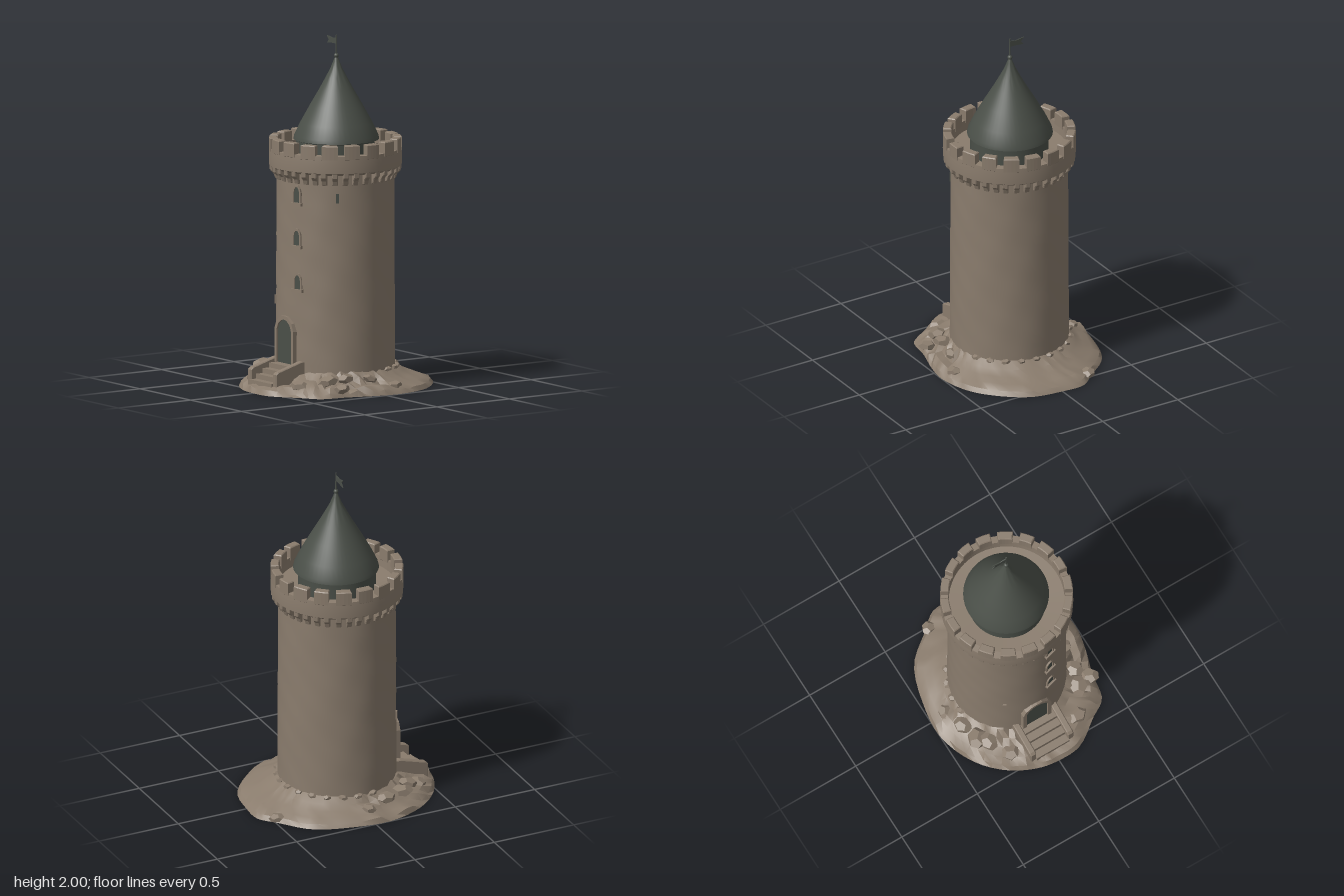
import * as THREE from 'three';
import { toCreasedNormals } from 'three/addons/utils/BufferGeometryUtils.js';

const stone = new THREE.MeshStandardMaterial({ name: 'weathered stone', color: 0x8a7c6d });
const slate = new THREE.MeshStandardMaterial({ name: 'dark slate', color: 0x4a4f48, side: THREE.DoubleSide });
const TAU = Math.PI * 2;
const V2 = (p) => p.map(([x, y]) => new THREE.Vector2(x, y));

// Seeded random for hand-hewn irregularity
let seed = 7;
const rnd = (a = -1, b = 1) => {
  seed = (seed * 16807) % 2147483647;
  return a + (b - a) * (seed / 2147483647);
};

function add(parent, name, geo, mat, x = 0, y = 0, z = 0) {
  const m = new THREE.Mesh(geo, mat);
  m.name = name;
  m.position.set(x, y, z);
  parent.add(m);
  return m;
}

const lathe = (points, n = 64) => toCreasedNormals(new THREE.LatheGeometry(V2(points), n), 0.6);

// Extrudes an outline in XY, centred on its depth
function slab(points, depth, bevel = 0) {
  const g = new THREE.ExtrudeGeometry(new THREE.Shape(V2(points)), {
    depth, bevelEnabled: bevel > 0, bevelSize: bevel, bevelThickness: bevel, bevelOffset: -bevel, bevelSegments: 1,
  });
  return g.translate(0, 0, -depth / 2);
}

// Pointed-arch outline, base at y = 0
function arch(w, h, spring) {
  return [[-w, 0], [w, 0], [w, spring], [w * 0.8, spring + (h - spring) * 0.55], [w * 0.35, h * 0.985], [0, h],
    [-w * 0.35, h * 0.985], [-w * 0.8, spring + (h - spring) * 0.55], [-w, spring]];
}

// Arched surround with an open middle
function archFrame(w, h, spring, t, depth) {
  const s = new THREE.Shape(V2(arch(w + t, h + t, spring)));
  s.holes.push(new THREE.Path(V2(arch(w, h, spring)).reverse()));
  return new THREE.ExtrudeGeometry(s, { depth, bevelEnabled: false });
}

// Rocky mound: rings between the wall and an irregular outline, closed below
function moundGeometry() {
  const outline = [[0.5, -0.07], [0.47, -0.23], [0.4, -0.36], [0.2, -0.53], [0, -0.57], [-0.14, -0.57], [-0.24, -0.49],
    [-0.4, -0.35], [-0.48, -0.12], [-0.5, 0.1], [-0.42, 0.32], [-0.28, 0.47], [-0.12, 0.55], [0, 0.57], [0.14, 0.56],
    [0.3, 0.45], [0.4, 0.38], [0.43, 0.23], [0.48, 0.06]];
  const curve = new THREE.CatmullRomCurve3(outline.map(([x, z]) => new THREE.Vector3(x, 0, z)), true);
  const n = 72, rows = [[0, 0.13], [0.12, 0.115], [0.3, 0.085], [0.5, 0.062], [0.72, 0.045], [0.92, 0.024], [1, 0]];
  const edge = curve.getPoints(n).slice(0, n), pos = [], idx = [];
  rows.forEach(([t, y], r) => edge.forEach((p) => {
    const len = Math.hypot(p.x, p.z), front = p.z > -0.05 ? 1 : 0.35;
    const wob = r > 0 && r < 6 ? rnd() * front : 0;
    const k = (0.315 + (len - 0.315) * (t + wob * 0.035)) / len;
    pos.push(p.x * k, Math.max(0, y + (r < 6 ? wob * 0.014 : 0)), p.z * k);
  }));
  for (let r = 0; r < rows.length - 1; r++) for (let i = 0; i < n; i++) {
    const a = r * n + i, b = r * n + ((i + 1) % n);
    idx.push(a, a + n, b + n, a, b + n, b);
  }
  const last = (rows.length - 1) * n, c = pos.length / 3;
  pos.push(0, 0, 0);
  for (let i = 0; i < n; i++) idx.push(c, last + ((i + 1) % n), last + i);
  const g = new THREE.BufferGeometry();
  g.setAttribute('position', new THREE.Float32BufferAttribute(pos, 3));
  g.setIndex(idx);
  return toCreasedNormals(g, 0.55);
}

// Window standing proud of the wall at a given x
function addWindow(parent, x, y, h) {
  const g = new THREE.Group();
  g.name = 'slitWindow';
  const a = Math.asin(x / 0.333);
  g.position.set(0.333 * Math.sin(a), y, 0.333 * Math.cos(a));
  g.rotation.y = a;
  add(g, 'windowOpening', slab(arch(0.02, h, h * 0.65), 0.006), slate, 0, 0, 0.002);
  add(g, 'windowSurround', archFrame(0.02, h, h * 0.65, 0.011, 0.022), stone, 0, 0, -0.012);
  add(g, 'windowSill', new THREE.BoxGeometry(0.075, 0.018, 0.035), stone, 0, -0.008, 0);
  parent.add(g);
}

export function createModel() {
  const model = new THREE.Group();
  model.name = 'stoneTower';

  add(model, 'rockyMound', moundGeometry(), stone);

  // Loose rocks around the foot, larger at the front corners
  const rocks = [[-0.34, 0.24, 0.06, 0.09], [-0.37, 0.13, 0.05, 0.085], [-0.3, 0.3, 0.05, 0.11], [0.34, 0.17, 0.05, 0.09],
    [0.31, 0.27, 0.055, 0.08], [0.4, 0.24, 0.05, 0.045], [0.37, 0.02, 0.04, 0.08], [-0.22, 0.4, 0.05, 0.05],
    [0.22, 0.4, 0.055, 0.05], [-0.41, 0, 0.04, 0.06], [0.43, -0.1, 0.045, 0.04], [-0.22, -0.49, 0.04, 0.025]];
  for (let i = 0; i < 12; i++) {
    const a = Math.PI * (0.5 + (i + 0.5) / 12);
    rocks.push([0.34 * Math.sin(a + 0.3), 0.34 * Math.cos(a + 0.3), 0.025, 0.115]);
  }
  rocks.forEach(([x, z, r, y]) => {
    const m = add(model, 'rock', toCreasedNormals(new THREE.DodecahedronGeometry(r), 0.3), stone, x, y, z);
    m.scale.set(1.15, 0.6, 1);
    m.rotation.set(rnd() * 0.2, rnd() * 3, rnd() * 0.2);
  });

  // Main shaft with slightly uneven masonry
  const rows = [];
  for (let i = 0; i <= 24; i++) rows.push([0.337 - 0.004 * (i / 24), 0.05 + 1.23 * (i / 24)]);
  const shaft = new THREE.LatheGeometry(V2(rows), 72);
  const p = shaft.attributes.position;
  for (let i = 0; i < p.count; i++) {
    const a = Math.atan2(p.getX(i), p.getZ(i)), y = p.getY(i);
    const k = 1 + 0.004 * Math.sin(a * 7 + y * 9) * Math.sin(y * 21 + Math.cos(a * 3));
    p.setX(i, p.getX(i) * k);
    p.setZ(i, p.getZ(i) * k);
  }
  add(model, 'towerShaft', toCreasedNormals(shaft, 0.6), stone);

  // Parapet ring, wall walk and merlons
  add(model, 'parapet', lathe([[0.325, 1.25], [0.36, 1.25], [0.375, 1.262], [0.377, 1.31], [0.373, 1.36],
    [0.332, 1.362], [0.328, 1.3], [0.2, 1.295]], 72), stone);
  const merlons = 18;
  for (let i = 0; i < merlons; i++) {
    const a = ((i + 0.5) / merlons) * TAU, half = 0.115 + rnd() * 0.008, pts = [];
    for (let j = 0; j <= 4; j++) pts.push([0.376, -half + (half * j) / 2]);
    for (let j = 4; j >= 0; j--) pts.push([0.328, -half + (half * j) / 2]);
    const g = slab(pts.map(([r, t]) => [r * Math.sin(t), r * Math.cos(t)]).reverse(), 0.075, 0.005);
    const m = add(model, 'merlon', g.rotateX(Math.PI / 2), stone, 0, 1.38 + rnd() * 0.003, 0);
    m.rotation.y = a;
  }

  // Corbels under the parapet
  const corbel = slab([[0.32, 1.185], [0.343, 1.19], [0.352, 1.215], [0.372, 1.235], [0.374, 1.27], [0.32, 1.27]], 0.024, 0.004);
  corbel.rotateY(-Math.PI / 2);
  for (let i = 0; i < 36; i++) add(model, 'corbel', corbel, stone).rotation.y = ((i + 0.5 + rnd() * 0.08) / 36) * TAU;

  // Turret drum, flared conical roof, finial and pennant
  add(model, 'turretDrum', lathe([[0.222, 1.28], [0.222, 1.42]], 48), slate);
  add(model, 'coneRoof', lathe([[0, 1.4], [0.22, 1.4], [0.243, 1.408], [0.238, 1.43], [0.205, 1.5], [0.15, 1.6], [0.095, 1.695],
    [0.06, 1.76], [0.034, 1.81], [0.018, 1.85], [0.008, 1.875], [0, 1.88]], 48), slate, 0, 0, -0.006);
  add(model, 'finialBall', new THREE.SphereGeometry(0.014, 16, 10), slate, 0, 1.882, -0.006);
  add(model, 'flagPole', new THREE.CylinderGeometry(0.004, 0.005, 0.14, 8), slate, 0, 1.93, -0.006);
  add(model, 'pennant', slab([[0, 1.95], [0, 1.985], [-0.04, 1.98], [-0.092, 1.988], [-0.072, 1.966], [-0.09, 1.944], [-0.04, 1.95]], 0.005),
    slate, 0, 0, -0.006);

  // Doorway
  add(model, 'door', slab(arch(0.07, 0.25, 0.19), 0.008), slate, -0.01, 0.15, 0.336);
  add(model, 'doorSurround', archFrame(0.07, 0.25, 0.19, 0.022, 0.045), stone, -0.01, 0.15, 0.305);

  // Steps with sloping side walls
  for (let i = 0; i < 4; i++) {
    const h = 0.145 - i * 0.028, d = 0.06 + i * 0.045;
    add(model, 'step', new THREE.BoxGeometry(0.215, h, d), stone, -0.005, h / 2, 0.32 + d / 2);
  }
  const cheek = slab([[0.3, 0.01], [0.505, 0.01], [0.505, 0.115], [0.49, 0.128], [0.33, 0.175], [0.3, 0.175]], 0.026, 0.005);
  cheek.rotateY(-Math.PI / 2);
  for (const x of [-0.128, 0.118]) add(model, 'stairWall', cheek, stone, x);

  // Slit windows up the front, a small side loophole and a protruding stone
  addWindow(model, 0.085, 1.08, 0.09);
  addWindow(model, 0.085, 0.835, 0.085);
  addWindow(model, 0.09, 0.585, 0.08);
  const loop = add(model, 'loophole', new THREE.BoxGeometry(0.016, 0.055, 0.008), slate, 0.279, 1.115, 0.182);
  loop.rotation.y = Math.atan2(0.279, 0.182);
  const chip = add(model, 'protrudingStone', new THREE.BoxGeometry(0.02, 0.05, 0.016), stone, -0.185, 0.49, 0.28);
  chip.rotation.y = Math.atan2(-0.185, 0.28);

  return model;
}
